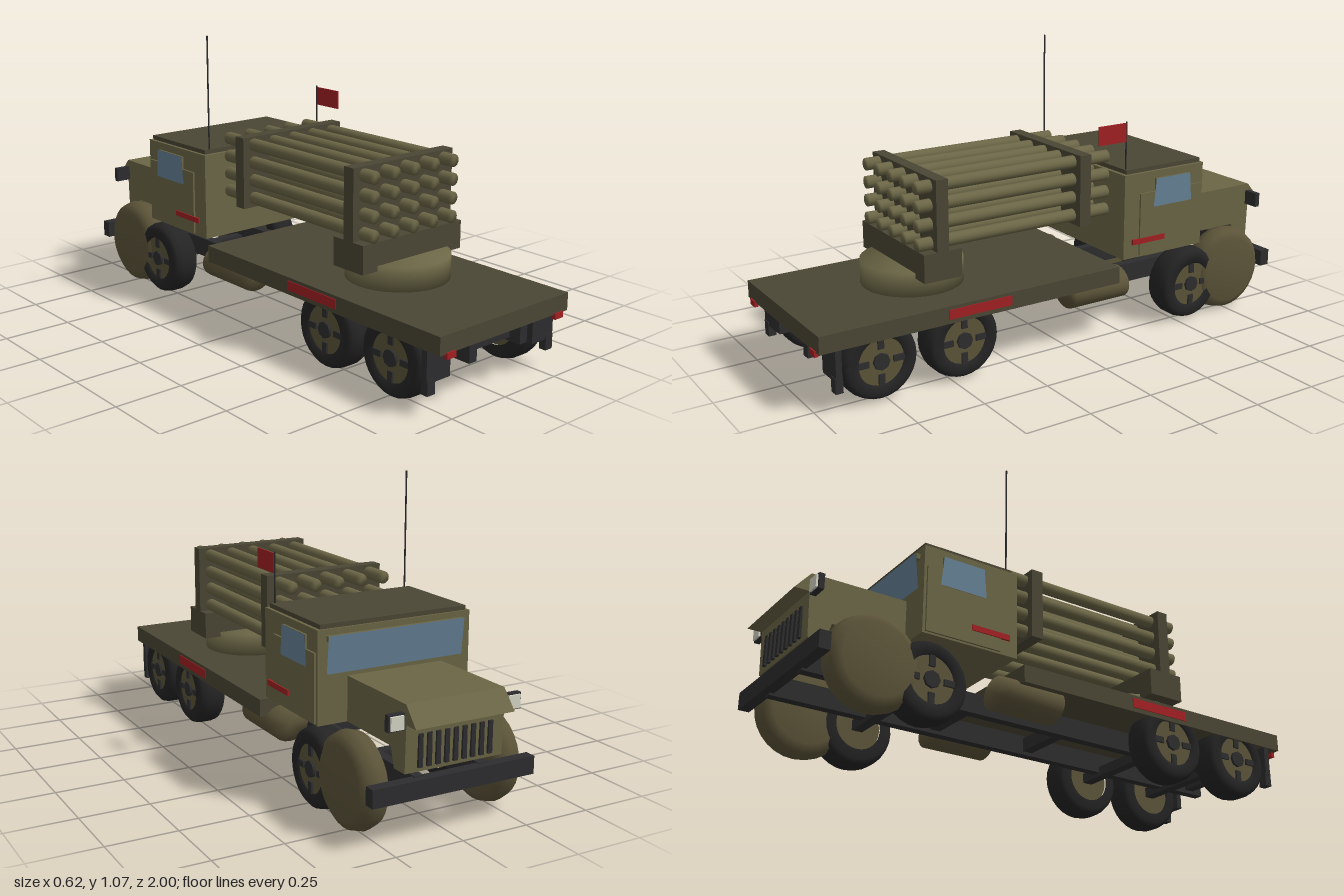
import * as THREE from 'three';
import { mergeVertices } from 'three/addons/utils/BufferGeometryUtils.js';

const mat = (name, color, side = THREE.FrontSide) => {
  const m = new THREE.MeshStandardMaterial({ color, side });
  m.name = name;
  return m;
};

export function createModel() {
  const body = mat('olive body', 0x6b6646);
  const deckMat = mat('dark olive', 0x4b4735);
  const fenderMat = mat('brown olive', 0x5c5439);
  const dark = mat('dark metal', 0x2d2d2f);
  const rubber = mat('rubber', 0x242425);
  const red = mat('red', 0xa32022, THREE.DoubleSide);
  const glass = mat('glass', 0x668296, THREE.DoubleSide);
  const lamp = mat('lamp', 0xd6d6c6);

  const root = new THREE.Group();
  root.name = 'rocketTruck';
  const add = (name, geo, m, x = 0, y = 0, z = 0, parent = root) => {
    const mesh = new THREE.Mesh(geo, m);
    mesh.name = name;
    mesh.position.set(x, y, z);
    parent.add(mesh);
    return mesh;
  };
  // box given by its limits on each axis
  const box = (name, m, x0, x1, y0, y1, z0, z1, parent) =>
    add(name, new THREE.BoxGeometry(Math.abs(x1 - x0), y1 - y0, z1 - z0), m,
      (x0 + x1) / 2, (y0 + y1) / 2, (z0 + z1) / 2, parent);
  // average the normals over every edge
  const smooth = (g) => {
    g.deleteAttribute('normal');
    g.deleteAttribute('uv');
    const s = mergeVertices(g);
    s.computeVertexNormals();
    return s;
  };
  const lathe = (pts, n) => new THREE.LatheGeometry(pts.map(([r, y]) => new THREE.Vector2(r, y)), n);
  const quad = (a, b, c, d) => {
    const g = new THREE.BufferGeometry();
    g.setAttribute('position', new THREE.Float32BufferAttribute([...a, ...b, ...c, ...d], 3));
    g.setIndex([0, 1, 2, 0, 2, 3]);
    g.computeVertexNormals();
    return g;
  };

  // Chassis: rails, axles, cross members, bumper
  for (const s of [1, -1]) box('chassisRail', dark, s * 0.105, s * 0.14, 0.147, 0.22, -0.93, 0.965);
  for (const z of [0.775, 0.458, -0.555]) box('axle', dark, -0.23, 0.23, 0.133, 0.17, z - 0.02, z + 0.02);
  for (const z of [0.9, 0.1, -0.3]) box('crossMember', dark, -0.12, 0.12, 0.16, 0.21, z - 0.02, z + 0.02);
  box('bumper', dark, -0.308, 0.308, 0.155, 0.217, -0.955, -0.915);

  // Load deck
  box('deck', deckMat, -0.308, 0.308, 0.227, 0.29, -0.2, 0.995);

  // Wheels with hub disc and cross spokes
  const tyreGeo = lathe([[0.085, -0.054], [0.12, -0.054], [0.134, -0.042], [0.14, -0.02], [0.14, 0.02],
    [0.134, 0.042], [0.12, 0.054], [0.085, 0.054], [0.085, 0.035]], 28);
  const makeWheel = (x, z, s) => {
    const wheel = new THREE.Group();
    wheel.name = 'wheel';
    wheel.position.set(x, 0.15, z);
    wheel.rotation.z = -s * Math.PI / 2;
    root.add(wheel);
    add('tyre', tyreGeo, rubber, 0, 0, 0, wheel);
    add('hubDisc', new THREE.CylinderGeometry(0.087, 0.087, 0.09, 28), fenderMat, 0, 0, 0, wheel);
    add('hubCap', new THREE.CylinderGeometry(0.03, 0.03, 0.02, 8), dark, 0, 0.045, 0, wheel);
    for (let i = 0; i < 4; i++) {
      const spoke = new THREE.Group();
      spoke.rotation.y = i * Math.PI / 2;
      wheel.add(spoke);
      box('spoke', dark, 0.045, 0.085, 0.04, 0.052, -0.011, 0.011, spoke);
    }
  };
  for (const s of [1, -1]) for (const z of [0.775, 0.458, -0.555]) makeWheel(s * 0.252, z, s);

  // Round front fenders, fuel tanks, mudflaps, lights and stripes on both sides
  const fenderGeo = smooth(lathe([[0, -0.054], [0.125, -0.054], [0.155, -0.035], [0.165, 0],
    [0.155, 0.035], [0.125, 0.054], [0, 0.054]], 28));
  const tankGeo = smooth(new THREE.CylinderGeometry(0.06, 0.06, 0.24, 20));
  for (const s of [1, -1]) {
    add('fender', fenderGeo, fenderMat, s * 0.254, 0.17, -0.75).rotation.z = Math.PI / 2;
    const tank = add('fuelTank', tankGeo, fenderMat, s * 0.22, 0.2, -0.14);
    tank.rotation.x = Math.PI / 2;
    tank.scale.x = 1.2;
    box('mudflap', dark, s * 0.2, s * 0.306, 0.115, 0.227, 0.918, 0.94);
    box('mudflapTip', dark, s * 0.27, s * 0.304, 0.075, 0.13, 0.915, 0.943);
    box('tailLight', red, s * 0.24, s * 0.28, 0.21, 0.232, 0.985, 1.0);
    box('deckStripe', red, s * 0.306, s * 0.311, 0.243, 0.278, 0.27, 0.52);
    box('cabStripe', red, s * 0.3, s * 0.308, 0.362, 0.382, -0.41, -0.26);
    box('lampCase', dark, s * 0.19, s * 0.25, 0.385, 0.44, -0.945, -0.925);
    box('headlight', lamp, s * 0.197, s * 0.244, 0.39, 0.435, -0.952, -0.945);
  }

  // Cab with doors, roof and windows
  box('cab', body, -0.297, 0.297, 0.308, 0.63, -0.595, -0.225);
  box('roof', deckMat, -0.285, 0.285, 0.63, 0.646, -0.588, -0.24);
  for (const s of [1, -1]) {
    box('door', body, s * 0.296, s * 0.304, 0.315, 0.553, -0.585, -0.295);
    add('sideWindow', quad([s * 0.306, 0.495, -0.355], [s * 0.306, 0.495, -0.535],
      [s * 0.307, 0.602, -0.525], [s * 0.307, 0.602, -0.365]), glass);
    box('windowFrame', body, s * 0.296, s * 0.305, 0.495, 0.602, -0.525, -0.365);
  }
  add('windshield', quad([0.265, 0.48, -0.599], [-0.265, 0.48, -0.599],
    [-0.265, 0.61, -0.612], [0.265, 0.61, -0.612]), glass);
  box('windshieldBacking', body, -0.265, 0.265, 0.59, 0.609, -0.609, -0.595);

  // Hood: side profile drawn as (-z, y), with a sloping front lip
  const hood = new THREE.Shape([[0.59, 0.308], [0.86, 0.308], [0.88, 0.24], [0.94, 0.24], [0.945, 0.4],
    [0.998, 0.4], [0.942, 0.465], [0.59, 0.465]].map((p) => new THREE.Vector2(...p)));
  const hoodGeo = new THREE.ExtrudeGeometry(hood, { depth: 0.37, bevelEnabled: false });
  hoodGeo.translate(0, 0, -0.185).rotateY(Math.PI / 2);
  add('hood', hoodGeo, body);
  for (let i = 0; i < 9; i++) {
    const x = (i - 4) * 0.033;
    box('grilleBar', dark, x - 0.008, x + 0.008, 0.255, 0.365, -0.95, -0.938);
  }

  // Aerial and flag
  add('aerial', new THREE.CylinderGeometry(0.003, 0.003, 0.44, 8), dark, -0.26, 0.85, -0.247);
  add('flagPole', new THREE.CylinderGeometry(0.003, 0.003, 0.2, 8), dark, 0.27, 0.725, -0.247);
  box('flag', red, 0.269, 0.273, 0.75, 0.82, -0.245, -0.122);

  // Turntable and launcher mount
  add('turntable', smooth(new THREE.CylinderGeometry(0.185, 0.185, 0.09, 32)), body, 0, 0.332, 0.497);
  box('launcherMount', deckMat, -0.235, 0.235, 0.358, 0.46, 0.425, 0.572);
  box('rearRackPlate', deckMat, -0.235, 0.235, 0.45, 0.713, 0.475, 0.521);
  box('frontRackPlate', deckMat, -0.235, 0.235, 0.447, 0.713, -0.117, -0.07);

  // Launch tubes, five columns by four rows
  const tubeGeo = smooth(new THREE.CylinderGeometry(0.023, 0.023, 0.793, 16));
  for (let c = 0; c < 5; c++) {
    for (let r = 0; r < 4; r++) {
      add('launchTube', tubeGeo, body, (c - 2) * 0.0937, 0.482 + r * 0.0672, 0.178).rotation.x = Math.PI / 2;
    }
  }
  return root;
}
